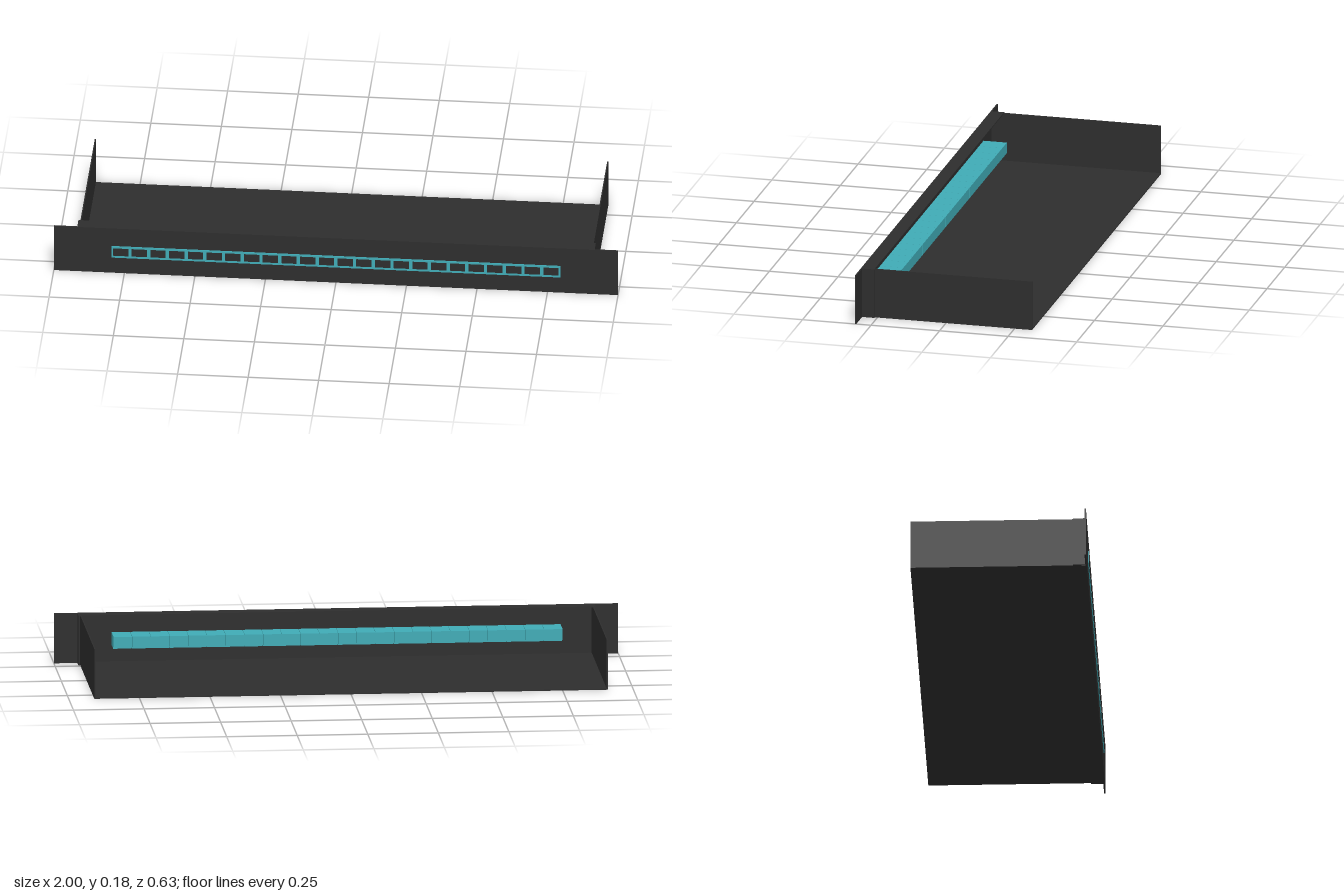
import * as THREE from 'three';

export function createModel() {
  const model = new THREE.Group();
  model.name = 'rackShelf';
  const steel = new THREE.MeshStandardMaterial({ color: 0x2d2d2d });
  steel.name = 'dark steel';
  const teal = new THREE.MeshStandardMaterial({ color: 0x40abb6 });
  teal.name = 'teal plastic';

  // Box given by its minimum and maximum corners
  function box(name, material, [x0, y0, z0], [x1, y1, z1], parent = model) {
    const mesh = new THREE.Mesh(new THREE.BoxGeometry(x1 - x0, y1 - y0, z1 - z0), material);
    mesh.position.set((x0 + x1) / 2, (y0 + y1) / 2, (z0 + z1) / 2);
    mesh.name = name;
    parent.add(mesh);
  }

  const H = 0.18;   // panel height
  const T = 0.004;  // sheet thickness

  // Tray, open at the top and the back
  box('trayFloor', steel, [-0.91, 0, -0.314], [0.91, T, 0.304]);
  for (const side of [-1, 1]) {
    const outer = side * 0.91, inner = side * (0.91 - T);
    box('trayWall', steel, [Math.min(outer, inner), T, -0.314], [Math.max(outer, inner), H - T, 0.304]);
    // Folded return of the front panel, outside the wall
    const a = side * 0.9105, b = side * 0.917;
    box('panelReturn', steel, [Math.min(a, b), 0, 0.26], [Math.max(a, b), H, 0.304]);
  }

  // Rear portion of the walls reaches full height
  for (const x of [-0.91, 0.91 - T]) {
    box('wallTop', steel, [x, H - T, -0.314], [x + T, H, 0.26]);
  }

  // Front panel with mounting ears and top lip
  box('frontPanel', steel, [-1, 0, 0.304], [1, H, 0.309]);
  box('topLip', steel, [-0.9105, H - T, 0.26], [0.9105, H, 0.304]);

  // Row of socket modules through the panel
  const count = 24, left = -0.796, pitch = 1.592 / count;
  const y0 = 0.063, y1 = 0.109;
  for (let i = 0; i < count; i++) {
    const x = left + i * pitch, end = x + pitch;
    const socket = new THREE.Group();
    socket.name = 'socketModule';
    model.add(socket);
    box('socketBody', teal, [x + 0.0005, y0 + 0.007, 0.219], [end - 0.0005, y1, 0.304], socket);
    box('socketFoot', teal, [x + 0.0005, y0, 0.236], [end - 0.0005, y0 + 0.007, 0.304], socket);
    box('socketFrame', teal, [x, y0, 0.309], [end, y1, 0.312], socket);
    box('socketFace', steel, [x + 0.006, y0 + 0.009, 0.312], [end - 0.006, y1 - 0.008, 0.314], socket);
  }
  return model;
}
